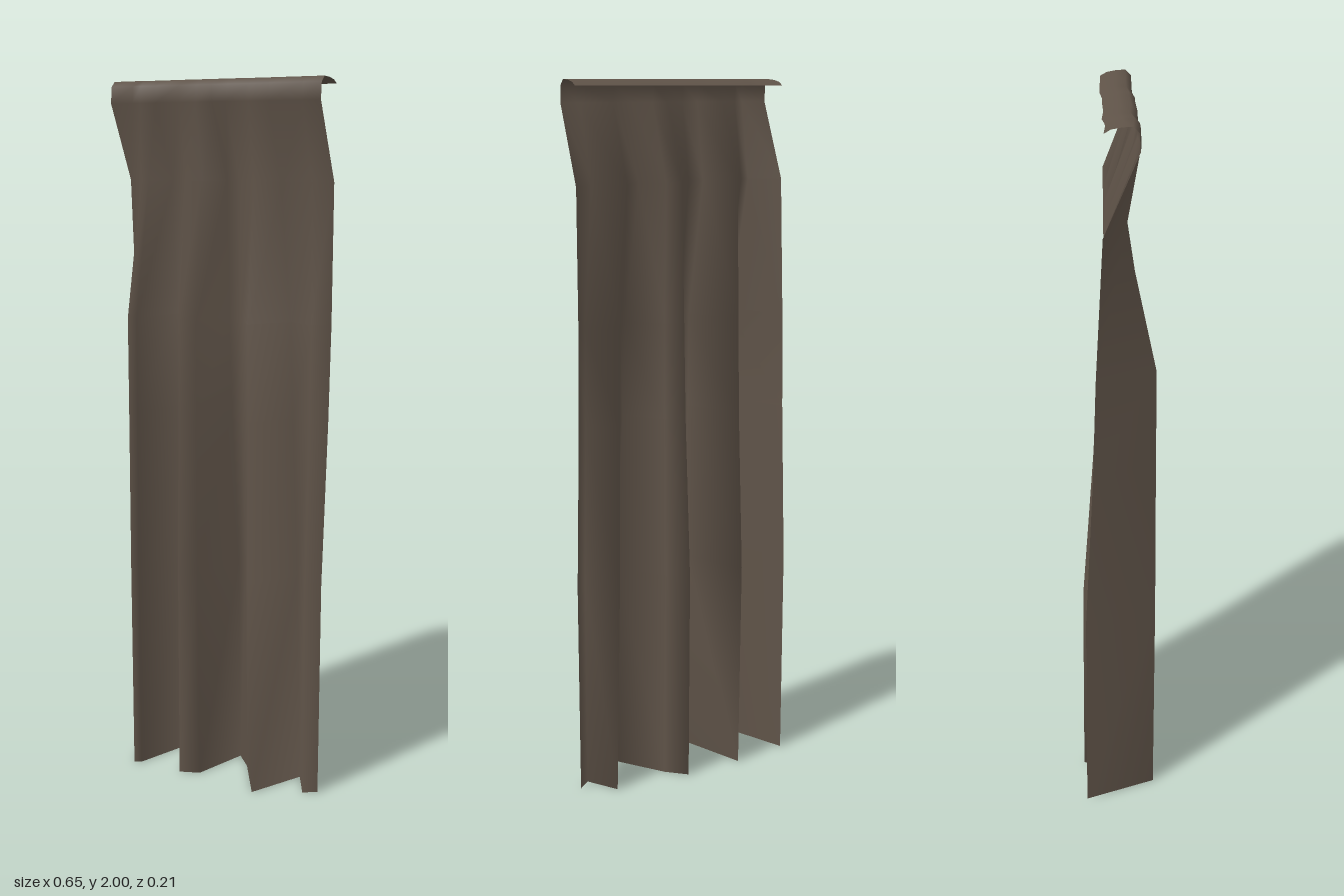
import * as THREE from 'three';

// Each pleat line: [x, z] at the hem, at mid height, just under the heading, then heading front z
const PLEATS = [
  [-0.325, -0.09, -0.325, -0.055, -0.325, -0.035, 0.055],
  [-0.24, 0.105, -0.245, 0.1, -0.25, 0.02, 0.057],
  [-0.22, 0.095, -0.225, 0.085, -0.225, 0.018, 0.055],
  [-0.16, -0.105, -0.175, -0.055, -0.18, -0.035, 0.047],
  [-0.085, 0.09, -0.09, 0.075, -0.1, 0.018, 0.049],
  [-0.03, 0.065, -0.045, 0.055, -0.05, 0.012, 0.046],
  [0.012, -0.1, 0, -0.05, 0, -0.038, 0.043],
  [0.065, -0.05, 0.05, -0.03, 0.045, -0.03, 0.042],
  [0.165, 0.09, 0.125, 0.06, 0.11, 0.005, 0.034],
  [0.235, -0.07, 0.2, -0.05, 0.17, -0.042, 0.032],
  [0.29, 0.015, 0.285, -0.01, 0.27, -0.03, 0.031],
  [0.325, -0.012, 0.325, -0.05, 0.325, -0.052, 0.03],
];

// Rolled heading: height and offset behind its front
const HEADING = [[1.94, 0], [1.985, 0.003], [2, 0.018], [1.998, 0.045], [1.993, 0.07], [1.983, 0.087]];

// Points of one pleat line from hem to lip
function pleatLine([x0, z0, x1, z1, x2, z2, front]) {
  const mix = THREE.MathUtils.lerp;
  return [
    [x0, 0, z0],
    [mix(x0, x1, 0.45), 0.62, mix(z0, z1, 0.08)],
    [mix(x0, x1, 0.8), 1.08, mix(z0, z1, 0.75)],
    [x1, 1.35, z1],
    [x2, 1.73, z2],
    ...HEADING.map(([y, back]) => [x2, y, front - back]),
  ];
}

export function createModel() {
  const fabric = new THREE.MeshStandardMaterial({ color: 0x5f5348, side: THREE.DoubleSide });
  fabric.name = 'brown fabric';

  // Cloth sheet woven between neighbouring pleat lines
  const lines = PLEATS.map(pleatLine);
  const rows = lines[0].length;
  const index = [];
  for (let i = 0; i < lines.length - 1; i++) {
    for (let j = 0; j < rows - 1; j++) {
      const a = i * rows + j, b = a + rows;
      index.push(a, b, b + 1, a, b + 1, a + 1);
    }
  }
  const geometry = new THREE.BufferGeometry();
  geometry.setAttribute('position', new THREE.Float32BufferAttribute(lines.flat(2), 3));
  geometry.setIndex(index);
  geometry.computeVertexNormals();

  const curtain = new THREE.Mesh(geometry, fabric);
  curtain.name = 'curtain';
  const group = new THREE.Group();
  group.name = 'hangingCurtain';
  group.add(curtain);
  return group;
}
